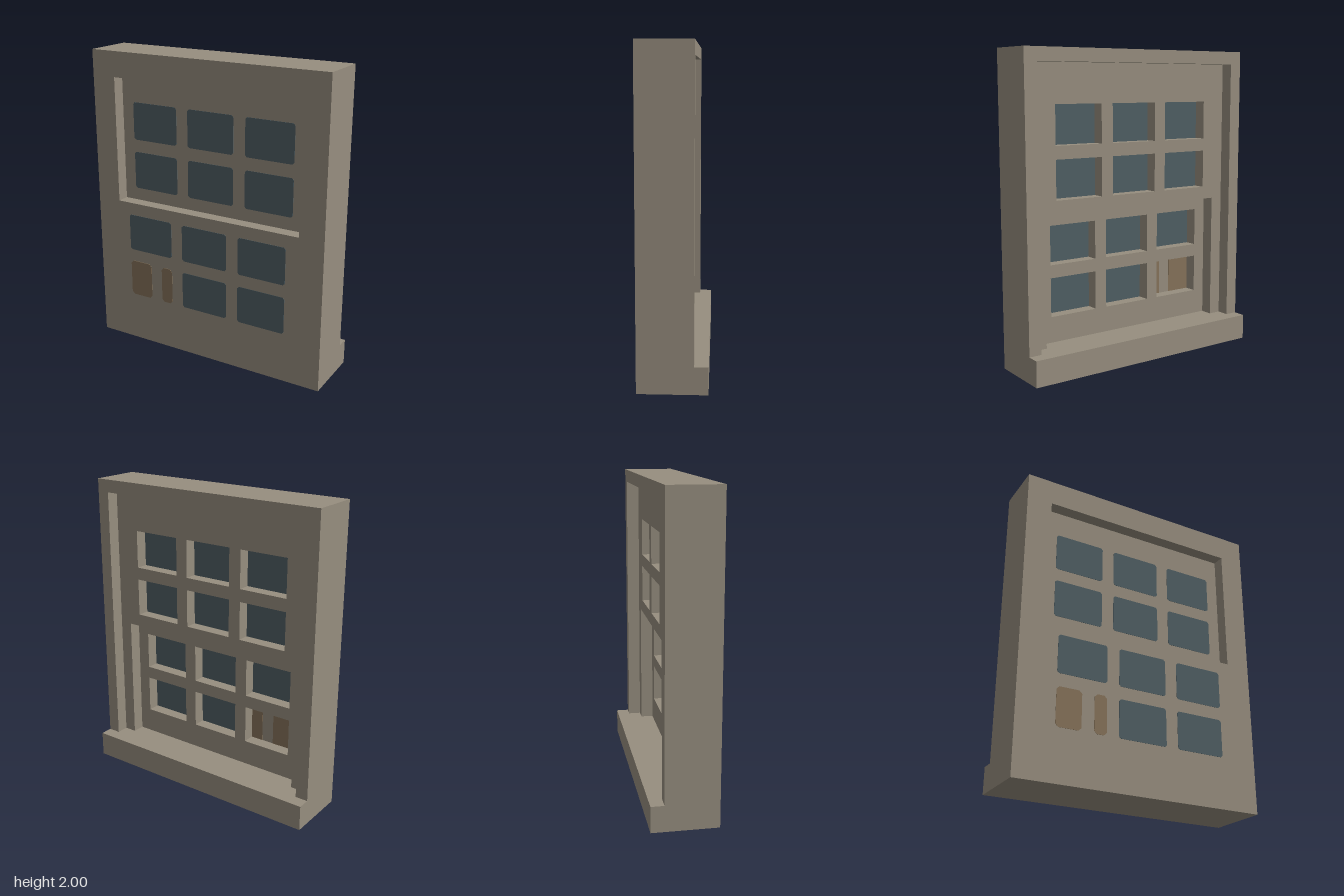
import * as THREE from 'three';

const U = 1 / 12; // building unit: the window is 20 x 24 x 5 units

const stone = new THREE.MeshStandardMaterial({ color: 0x978e7f });
stone.name = 'stone';
const glass = new THREE.MeshStandardMaterial({ color: 0x505f64 });
glass.name = 'glass';
const board = new THREE.MeshStandardMaterial({ color: 0x86735a });
board.name = 'board';

// Rectangle outline with optional cut corners; all sizes in units
function outline(Type, x0, x1, y0, y1, cut = 0) {
  const c = cut;
  const pts = c
    ? [[x0 + c, y0], [x1 - c, y0], [x1, y0 + c], [x1, y1 - c],
      [x1 - c, y1], [x0 + c, y1], [x0, y1 - c], [x0, y0 + c]]
    : [[x0, y0], [x1, y0], [x1, y1], [x0, y1]];
  return new Type(pts.map(([x, y]) => new THREE.Vector2(x * U, y * U)));
}

// Full-size wall layer, one unit thick, with rectangular openings
function layer(name, z, openings) {
  const shape = outline(THREE.Shape, -10, 10, 0, 24);
  shape.holes = openings.map((o) => outline(THREE.Path, ...o));
  const geo = new THREE.ExtrudeGeometry(shape, { depth: U, bevelEnabled: false });
  const mesh = new THREE.Mesh(geo, stone);
  mesh.name = name;
  mesh.position.z = z * U;
  return mesh;
}

// Thin painted pane, facing the front (dir 1) or the back (dir -1)
function pane(name, rect, z, dir, material, cut) {
  const geo = new THREE.ExtrudeGeometry(outline(THREE.Shape, ...rect, cut), { depth: 0.002, bevelEnabled: false });
  const mesh = new THREE.Mesh(geo, material);
  mesh.name = name;
  mesh.position.z = z * U + (dir > 0 ? 0 : -0.002);
  return mesh;
}

export function createModel() {
  const group = new THREE.Group();
  group.name = 'sashWindow';

  // Pane openings: three columns, two rows per sash
  const columns = [[-7, -3], [-2, 2], [3, 7]];
  const grid = (rows) => rows.flatMap((y) => columns.map(([a, b]) => [a, b, y, y + 3]));
  const upper = grid([13, 17]);
  const lower = grid([4, 8]);

  // Wall layers from back to front
  group.add(
    layer('backFrame', -1.5, [[-9, 9, 2, 23]]),
    layer('upperSashBack', -0.5, [[-8, 8, 2, 12], ...upper]),
    layer('sashCore', 0.5, lower),
    layer('frontFrameAndLowerSash', 1.5, [[-8, 8, 12, 22]]),
  );

  // Sill on the back
  const sill = new THREE.Mesh(new THREE.BoxGeometry(20 * U, 2 * U, U), stone);
  sill.name = 'sill';
  sill.position.set(0, U, -2 * U);
  group.add(sill);

  // Panes on both faces; the lowest one at the right is boarded in two strips
  const sashes = [
    { name: 'upper', panes: upper, front: 1.5, back: 0.5 },
    { name: 'lower', panes: lower, front: 2.5, back: 1.5 },
  ];
  for (const { name, panes, front, back } of sashes) {
    panes.forEach((rect, i) => {
      const boarded = name === 'lower' && i === 0;
      const parts = boarded ? [[-7, -5, 4, 7], [-4, -3, 4, 7]] : [rect];
      const material = boarded ? board : glass;
      const part = boarded ? 'BoardedPane' : 'Pane';
      for (const r of parts) {
        group.add(pane(`${name}${part}Front`, r, front, 1, material, boarded ? 0.22 : 0.15));
        group.add(pane(`${name}${part}Back`, r, back, -1, material, 0));
      }
    });
  }
  return group;
}
